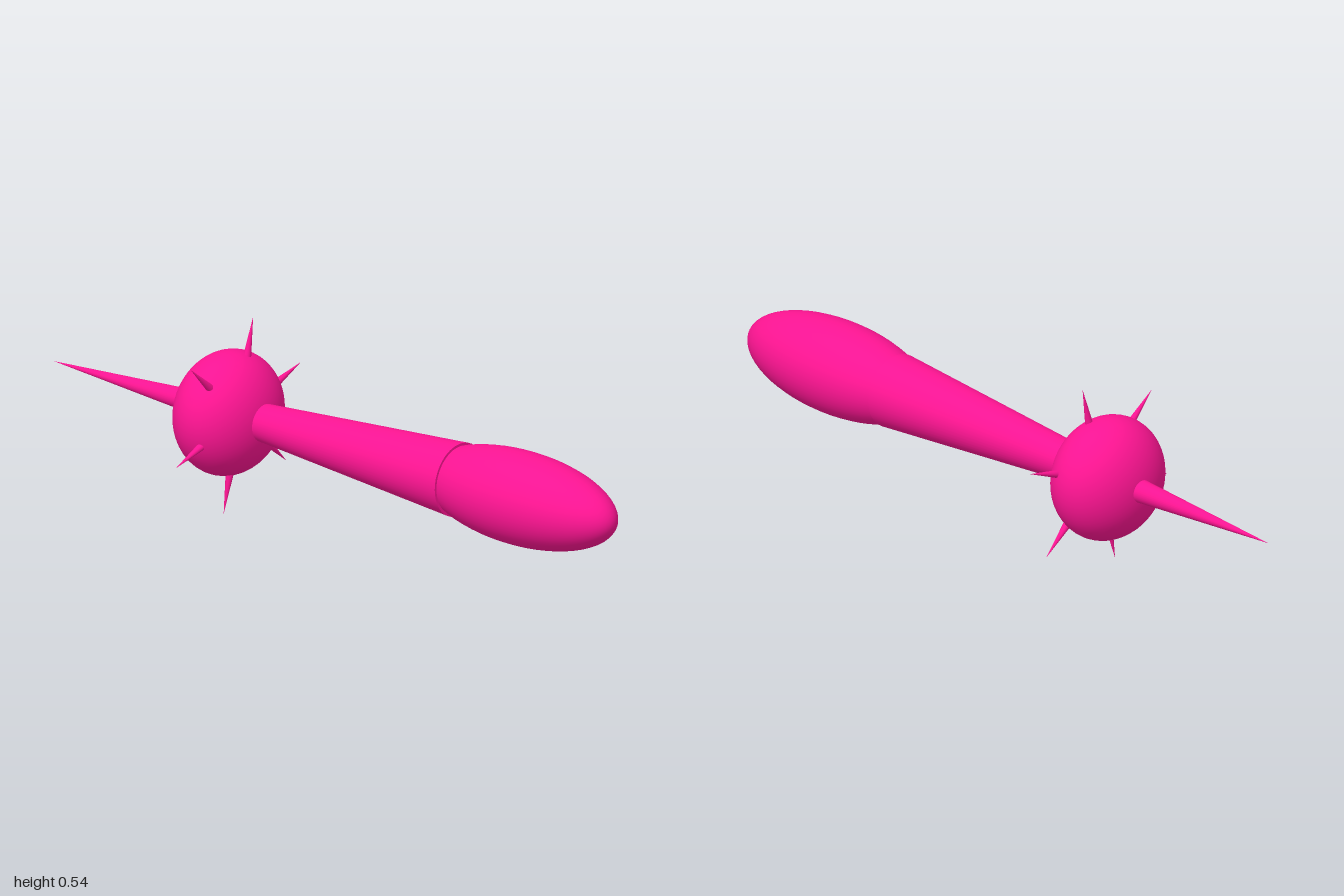
import * as THREE from 'three';

export function createModel() {
  const model = new THREE.Group();
  const material = new THREE.MeshStandardMaterial({ color: 0xff1493 });
  const axisY = 0.27;

  function add(name, geometry, parent = model) {
    const mesh = new THREE.Mesh(geometry, material);
    mesh.name = name;
    parent.add(mesh);
    return mesh;
  }

  // Ellipsoid, round about the z axis
  function ellipsoid(name, radius, halfLength, z) {
    const g = new THREE.SphereGeometry(1, 48, 32);
    g.rotateX(Math.PI / 2);
    g.scale(radius, radius, halfLength);
    add(name, g).position.set(0, axisY, z);
  }

  // Egg-shaped grip and the flattened ball head
  ellipsoid('grip', 0.13, 0.33, 0.67);
  ellipsoid('head', 0.176, 0.135, -0.375);

  // Tapered shaft, wide end at the grip
  const shaft = new THREE.CylinderGeometry(0.104, 0.049, 0.75, 48);
  shaft.rotateX(Math.PI / 2);
  add('shaft', shaft).position.set(0, axisY, 0.075);

  // Long spike at the back of the head
  const longSpike = new THREE.ConeGeometry(0.036, 0.55, 32);
  longSpike.rotateX(-Math.PI / 2);
  add('longSpike', longSpike).position.set(0, axisY, -0.725);

  // Ring of six short spikes around the head
  const ring = new THREE.Group();
  ring.name = 'spikeRing';
  ring.position.set(0, axisY, -0.34);
  model.add(ring);
  const shortSpike = new THREE.ConeGeometry(0.0135, 0.135, 24);
  shortSpike.translate(0, 0.2085, 0);
  for (let i = 0; i < 6; i++) {
    add('shortSpike', shortSpike, ring).rotation.z = THREE.MathUtils.degToRad(-13 + i * 60);
  }

  return model;
}
